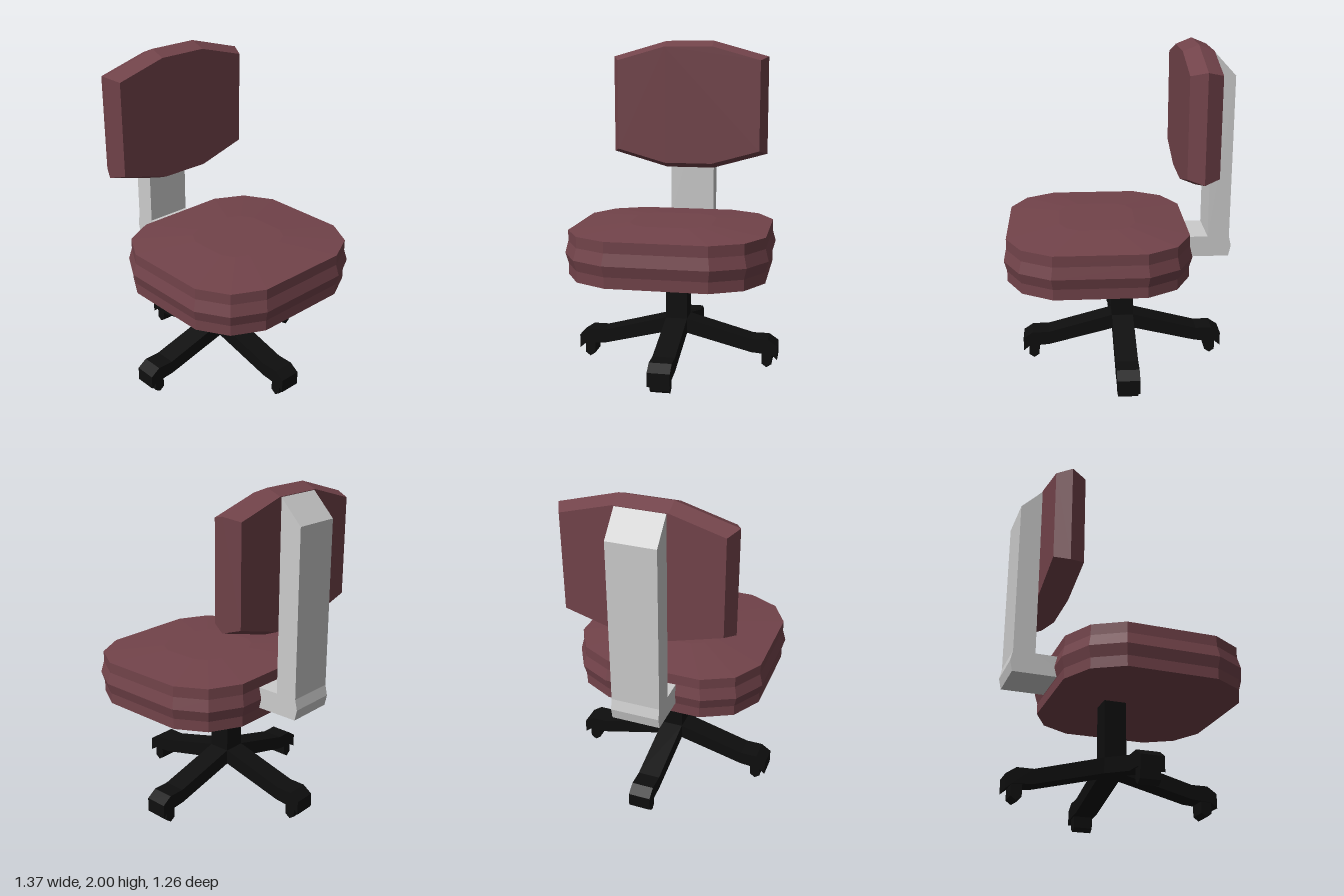
import * as THREE from 'three';

const mat = (color) => new THREE.MeshStandardMaterial({ color, flatShading: true });

// Closed solid through rings of equal point count (convex, counter-clockwise)
function loft(rings) {
  const pos = [];
  const tri = (...pts) => pts.forEach((p) => pos.push(...p));
  const n = rings[0].length;
  for (let i = 0; i < rings.length - 1; i++) {
    for (let j = 0; j < n; j++) {
      const k = (j + 1) % n;
      const a = rings[i][j], b = rings[i][k], c = rings[i + 1][k], d = rings[i + 1][j];
      tri(a, b, c);
      tri(a, c, d);
    }
  }
  const first = rings[0], last = rings[rings.length - 1];
  for (let j = 1; j < n - 1; j++) {
    tri(first[0], first[j + 1], first[j]);
    tri(last[0], last[j], last[j + 1]);
  }
  const geo = new THREE.BufferGeometry();
  geo.setAttribute('position', new THREE.Float32BufferAttribute(pos, 3));
  geo.computeVertexNormals();
  return geo;
}

// Mirrors a quarter outline into a full counter-clockwise one
function mirrorQuarter(q) {
  const r = [...q].reverse();
  return [
    ...q,
    ...r.map(([u, v]) => [-u, v]),
    ...q.map(([u, v]) => [-u, -v]),
    ...r.map(([u, v]) => [u, -v]),
  ];
}

// Side profile in x-y, extruded symmetrically about z = 0
function slab(points, width) {
  const shape = new THREE.Shape(points.map(([x, y]) => new THREE.Vector2(x, y)));
  const geo = new THREE.ExtrudeGeometry(shape, { depth: width, bevelEnabled: false });
  return geo.translate(0, 0, -width / 2);
}

export function createModel() {
  const group = new THREE.Group();
  const fabric = mat(0x72434a);
  const black = mat(0x0e0e0e);
  const grey = mat(0xcccccc);
  const add = (name, geo, material, parent = group) => {
    const mesh = new THREE.Mesh(geo, material);
    mesh.name = name;
    parent.add(mesh);
    return mesh;
  };

  // Seat cushion: twelve-sided, bulging round the middle, slightly domed on top
  const seatOutline = mirrorQuarter([[0.595, 0.277], [0.49, 0.46], [0.3, 0.557]]);
  const seatLayers = [[0.64, 0.97], [0.705, 0.97], [0.77, 1], [0.84, 0.97], [0.905, 0.97], [0.932, 0.41]];
  add('seat', loft(seatLayers.map(([y, s]) =>
    seatOutline.map(([z, x]) => [0.128 + x * s, y, z * s]))), fabric);

  // Backrest cushion: octagon with a ridge round its edge
  const backFace = mirrorQuarter([[0.375, 0.155], [0.288, 0.465]]);
  const backRidge = mirrorQuarter([[0.412, 0.155], [0.312, 0.51]]);
  const backLayers = [[-0.543, backFace], [-0.453, backRidge], [-0.361, backFace]];
  add('backrest', loft(backLayers.map(([x, outline]) =>
    outline.map(([y, z]) => [x, 1.588 + y, z]))), fabric);

  // L-shaped bracket from seat to backrest
  add('backBracket', slab([
    [-0.3, 0.71], [-0.3, 0.838], [-0.543, 0.838], [-0.543, 1.96],
    [-0.674, 1.82], [-0.674, 0.838], [-0.688, 0.775], [-0.674, 0.71],
  ], 0.29), grey);

  // Pedestal
  const base = new THREE.Group();
  base.name = 'base';
  base.position.x = -0.029;
  group.add(base);
  add('column', new THREE.BoxGeometry(0.134, 0.46, 0.134).translate(0, 0.425, 0), black, base);

  // Four arms with casters
  const armGeo = slab([
    [0, 0.195], [0.069, 0.195], [0.47, 0.095], [0.535, 0.09], [0.595, 0.085], [0.631, 0.055],
    [0.631, 0.14], [0.572, 0.18], [0.472, 0.18], [0.069, 0.288], [0, 0.288],
  ], 0.134);
  const casterGeo = slab([
    [0.534, 0.12], [0.534, 0.022], [0.566, 0], [0.597, 0.022], [0.597, 0.12],
  ], 0.116);
  for (let i = 0; i < 4; i++) {
    const leg = new THREE.Group();
    leg.name = 'leg' + (i + 1);
    leg.rotation.y = (i * Math.PI) / 2;
    add('arm', armGeo, black, leg);
    add('caster', casterGeo, black, leg);
    base.add(leg);
  }

  return group;
}
